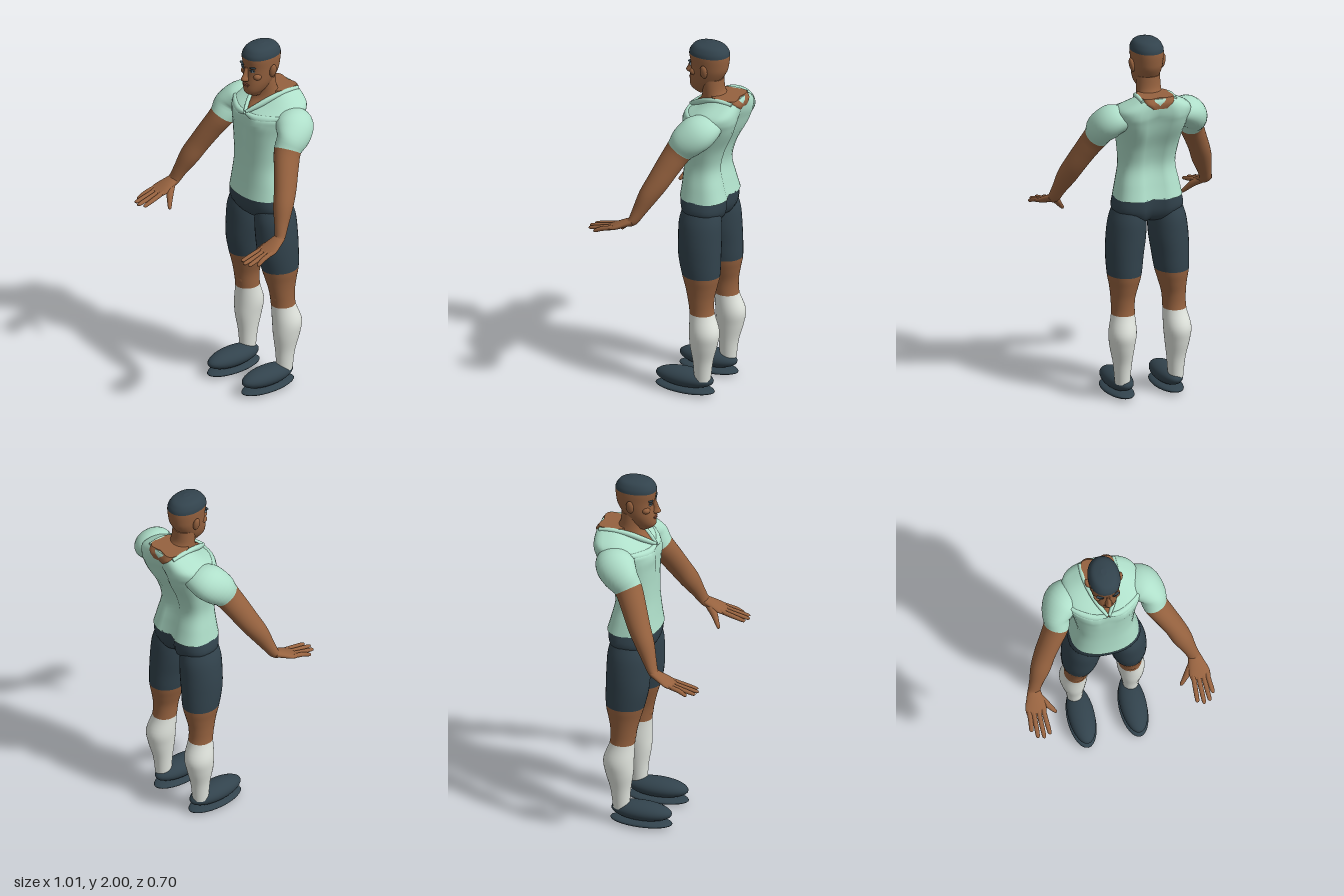
import * as THREE from 'three';

const mat = (name, color) => Object.assign(new THREE.MeshStandardMaterial({ color }), { name });
const SKIN = mat('skin', 0x96623f), SHIRT = mat('mint shirt', 0xafdfca), DARK = mat('dark slate', 0x32434d),
  SOCK = mat('sock white', 0xe2e6df), LIP = mat('lip brown', 0x7c4936), EYE = mat('eye grey', 0xaab4b8);
const SIDES = 32, STEPS = 5;

// Smooth in-between rings; a ring is [x, y, z, halfWidth, halfDepth]
function sampleRings(rings) {
  const out = [], n = rings.length;
  for (let i = 0; i < n - 1; i++) {
    const [a, b, c, d] = [rings[Math.max(i - 1, 0)], rings[i], rings[i + 1], rings[Math.min(i + 2, n - 1)]];
    for (let k = 0; k < STEPS; k++) {
      const t = k / STEPS;
      out.push(b.map((v, m) => v + 0.5 * t * (c[m] - a[m] + t * (2 * a[m] - 5 * v + 4 * c[m] - d[m]
        + t * (3 * (v - c[m]) + d[m] - a[m])))));
    }
  }
  out.push(rings[n - 1]);
  return out;
}

// Lofts rings into a closed skin, cut into slices: [name, material, firstRing, lastRing].
// axis 'y' keeps rings level, 'z' and 'x' turn them along the path.
function loft(group, rings, slices, { axis = 'y', front = 2, back = 2, deform } = {}) {
  const R = sampleRings(rings);
  const V = (r) => new THREE.Vector3(r[0], r[1], r[2]);
  const loops = R.map((r, i) => {
    const t = V(R[Math.min(i + 1, R.length - 1)]).sub(V(R[Math.max(i - 1, 0)])).normalize();
    const u = new THREE.Vector3(1, 0, 0), v = new THREE.Vector3(0, 0, 1);
    if (axis === 'z') {
      v.addScaledVector(t, -t.z).normalize();
      u.crossVectors(t, v);
    } else if (axis === 'x') {
      u.addScaledVector(t, -t.x).normalize();
      v.crossVectors(u, t);
    }
    const loop = [];
    for (let j = 0; j < SIDES; j++) {
      const a = (j / SIDES) * Math.PI * 2, c = Math.cos(a), s = Math.sin(a), e = 2 / (s > 0 ? front : back);
      const p = V(r).addScaledVector(u, r[3] * Math.sign(c) * Math.abs(c) ** e)
        .addScaledVector(v, r[4] * Math.sign(s) * Math.abs(s) ** e);
      if (deform) deform(p, r);
      loop.push(p);
    }
    return loop;
  });
  for (const [name, material, first, last] of slices) {
    const i0 = first * STEPS, i1 = last * STEPS, pos = [], idx = [];
    for (let i = i0; i <= i1; i++) loops[i].forEach((p) => pos.push(p.x, p.y, p.z));
    for (let i = 0; i < i1 - i0; i++) {
      for (let j = 0; j < SIDES; j++) {
        const a = i * SIDES + j, b = i * SIDES + (j + 1) % SIDES;
        idx.push(a, a + SIDES, b, b, a + SIDES, b + SIDES);
      }
    }
    for (const [i, top] of [[i0, false], [i1, true]]) {
      if (i !== 0 && i !== R.length - 1) continue;
      const base = pos.length / 3;
      const mid = loops[i].reduce((m, p) => m.add(p), new THREE.Vector3()).divideScalar(SIDES);
      loops[i].forEach((p) => pos.push(p.x, p.y, p.z));
      pos.push(mid.x, mid.y, mid.z);
      for (let j = 0; j < SIDES; j++) {
        const a = base + j, b = base + (j + 1) % SIDES;
        idx.push(...(top ? [b, a, base + SIDES] : [a, b, base + SIDES]));
      }
    }
    const g = new THREE.BufferGeometry();
    g.setAttribute('position', new THREE.Float32BufferAttribute(pos, 3));
    g.setIndex(idx);
    g.computeVertexNormals();
    const mesh = new THREE.Mesh(g, material);
    mesh.name = name;
    group.add(mesh);
  }
}

function ball(group, name, material, [x, y, z], [rx, ry, rz], tilt = 0) {
  const mesh = new THREE.Mesh(new THREE.SphereGeometry(1, 28, 18).scale(rx, ry, rz), material);
  mesh.position.set(x, y, z);
  mesh.rotation.z = tilt;
  mesh.name = name;
  group.add(mesh);
}

const bell = (d, w) => Math.exp(-((d / w) ** 2));

// Spine groove, shoulder blades and chest
function shapeTorso(p, r) {
  const ax = Math.abs(p.x);
  if (p.z < r[2]) {
    p.z += 0.025 * bell(p.x, 0.03) * Math.min(1, Math.max(0, (1.7 - p.y) / 0.1));
    p.z -= 0.015 * bell(ax - 0.12, 0.05) * bell(p.y - 1.56, 0.08);
  } else {
    p.z += 0.012 * bell(ax - 0.08, 0.05) * bell(p.y - 1.57, 0.045);
    p.z -= 0.008 * bell(p.x, 0.02) * bell(p.y - 1.52, 0.08);
  }
}

function createHead(head) {
  loft(head, [
    [0, 1.705, -0.1, 0.025, 0.03], [0, 1.725, -0.09, 0.038, 0.052], [0, 1.75, -0.102, 0.055, 0.074],
    [0, 1.79, -0.118, 0.07, 0.088], [0, 1.84, -0.136, 0.079, 0.1], [0, 1.88, -0.141, 0.083, 0.105],
    [0, 1.935, -0.139, 0.086, 0.112], [0, 1.965, -0.139, 0.078, 0.102], [0, 1.988, -0.139, 0.058, 0.077],
    [0, 2, -0.139, 0.015, 0.02],
  ], [['face', SKIN, 0, 6], ['hair', DARK, 6, 9]], { front: 2.2, back: 2.1 });
  loft(head, [[0, 1.803, -0.036, 0.013, 0.012], [0, 1.815, -0.027, 0.019, 0.026], [0, 1.84, -0.034, 0.011, 0.023],
    [0, 1.882, -0.044, 0.01, 0.016]], [['nose', SKIN, 0, 3]]);
  ball(head, 'upperLip', LIP, [0, 1.785, -0.034], [0.026, 0.005, 0.011]);
  ball(head, 'lowerLip', LIP, [0, 1.776, -0.034], [0.021, 0.005, 0.011]);
  ball(head, 'chin', SKIN, [0, 1.742, -0.045], [0.026, 0.017, 0.017]);
  for (const s of [1, -1]) {
    ball(head, 'eye', EYE, [s * 0.035, 1.866, -0.047], [0.016, 0.007, 0.008], s * 0.1);
    ball(head, 'iris', DARK, [s * 0.034, 1.867, -0.041], [0.006, 0.006, 0.004]);
    ball(head, 'eyelid', DARK, [s * 0.036, 1.874, -0.045], [0.019, 0.003, 0.009], s * 0.1);
    ball(head, 'eyebrow', DARK, [s * 0.039, 1.889, -0.045], [0.025, 0.005, 0.011], s * 0.2);
    ball(head, 'cheekbone', SKIN, [s * 0.05, 1.835, -0.07], [0.022, 0.02, 0.024]);
    ball(head, 'ear', SKIN, [s * 0.088, 1.86, -0.146], [0.014, 0.04, 0.021], -s * 0.2);
  }
}

function createTorso(body) {
  loft(body, [
    [0, 1.125, -0.136, 0.185, 0.139], [0, 1.2, -0.131, 0.171, 0.123], [0, 1.3, -0.125, 0.154, 0.108],
    [0, 1.4, -0.137, 0.164, 0.118], [0, 1.5, -0.157, 0.181, 0.141], [0, 1.57, -0.172, 0.202, 0.15],
    [0, 1.61, -0.186, 0.212, 0.151], [0, 1.65, -0.222, 0.195, 0.12], [0, 1.69, -0.25, 0.13, 0.09],
    [0, 1.714, -0.258, 0.085, 0.072],
  ], [['shirt', SHIRT, 0, 9]], { front: 2.3, back: 3, deform: shapeTorso });
  loft(body, [[0, 1.6, -0.12, 0.02, 0.093], [0, 1.64, -0.16, 0.055, 0.102], [0, 1.68, -0.178, 0.07, 0.084],
    [0, 1.73, -0.165, 0.067, 0.06], [0, 1.8, -0.155, 0.065, 0.062]], [['neck', SKIN, 0, 4]]);
  loft(body, [[0, 1.66, -0.26, 0.05, 0.086], [0, 1.69, -0.255, 0.085, 0.092], [0, 1.718, -0.25, 0.09, 0.08]],
    [['nape', SKIN, 0, 2]], { front: 3, back: 5, deform: (p, r) => { if (p.z < r[2]) p.z += 0.012 * bell(p.x, 0.03); } });
  // Hips with a groove at the back
  loft(body, [[0, 0.985, -0.14, 0.05, 0.06], [0, 1.01, -0.14, 0.14, 0.1], [0, 1.06, -0.138, 0.194, 0.128],
    [0, 1.13, -0.136, 0.184, 0.136]], [['shortsHips', DARK, 0, 3]], {
    front: 2.3, back: 2.6, deform: (p, r) => { if (p.z < r[2]) p.z += 0.03 * bell(p.x, 0.025); } });
}

function createSide(body, s) {
  const m = (rings) => rings.map(([x, ...rest]) => [s * x, ...rest]);
  // Collar flap and neckline
  loft(body, m([[0.004, 1.612, -0.03, 0.008, 0.01], [0.07, 1.598, -0.045, 0.022, 0.02], [0.13, 1.603, -0.075, 0.022, 0.02],
    [0.19, 1.618, -0.12, 0.01, 0.012]]), [['collarFlap', SHIRT, 0, 3]], { axis: 'z' });
  loft(body, m([[0.004, 1.618, -0.028, 0.008, 0.01], [0.042, 1.655, -0.09, 0.013, 0.016], [0.072, 1.69, -0.16, 0.013, 0.015],
    [0.09, 1.708, -0.24, 0.012, 0.012], [0.092, 1.702, -0.315, 0.01, 0.012]]), [['neckline', SHIRT, 0, 4]], { axis: 'x' });
  // Arm with sleeve
  loft(body, m([
    [0.15, 1.59, -0.205, 0.06, 0.09], [0.215, 1.575, -0.186, 0.083, 0.105], [0.258, 1.53, -0.14, 0.076, 0.095],
    [0.268, 1.47, -0.095, 0.067, 0.076], [0.308, 1.39, -0.052, 0.06, 0.068], [0.352, 1.3, -0.008, 0.056, 0.061],
    [0.385, 1.22, 0.035, 0.054, 0.052], [0.415, 1.14, 0.072, 0.039, 0.037], [0.434, 1.083, 0.1, 0.034, 0.026],
    [0.439, 1.066, 0.13, 0.036, 0.019],
  ]), [['sleeve', SHIRT, 0, 3], ['arm', SKIN, 3, 9]], { axis: 'z' });
  // Hand
  loft(body, m([[0.436, 1.085, 0.095, 0.032, 0.02], [0.44, 1.065, 0.14, 0.045, 0.02], [0.445, 1.045, 0.185, 0.056, 0.017],
    [0.447, 1.033, 0.22, 0.052, 0.012]]), [['palm', SKIN, 0, 3]], { axis: 'x' });
  const fingers = [[0.41, 0.402, 0.325], [0.435, 0.435, 0.338], [0.46, 0.467, 0.33], [0.483, 0.493, 0.293]];
  for (const [x0, x1, z] of fingers) {
    loft(body, m([[x0, 1.042, 0.195, 0.013, 0.012], [(x0 + x1) / 2, 1.027, 0.255, 0.013, 0.012],
      [x1, 1.01, z, 0.011, 0.009], [x1, 1.006, z + 0.01, 0.004, 0.004]]), [['finger', SKIN, 0, 3]], { axis: 'x' });
  }
  loft(body, m([[0.425, 1.065, 0.12, 0.018, 0.018], [0.39, 1.035, 0.165, 0.018, 0.019], [0.36, 1, 0.193, 0.013, 0.013],
    [0.342, 0.98, 0.208, 0.009, 0.009], [0.337, 0.975, 0.212, 0.003, 0.003]]), [['thumb', SKIN, 0, 4]], { axis: 'z' });
  // Leg: sock, bare knee, shorts
  loft(body, m([
    [0.152, 0.09, -0.172, 0.04, 0.045], [0.153, 0.2, -0.175, 0.05, 0.055], [0.157, 0.3, -0.181, 0.066, 0.076],
    [0.156, 0.38, -0.185, 0.074, 0.083], [0.147, 0.48, -0.167, 0.063, 0.068], [0.145, 0.56, -0.16, 0.064, 0.073],
    [0.139, 0.63, -0.158, 0.076, 0.088], [0.135, 0.7, -0.155, 0.091, 0.105], [0.13, 0.8, -0.145, 0.1, 0.117],
    [0.121, 0.9, -0.142, 0.106, 0.119], [0.112, 1, -0.14, 0.101, 0.117], [0.1, 1.08, -0.14, 0.085, 0.1],
  ]), [['sock', SOCK, 0, 4], ['knee', SKIN, 4, 7], ['shortsLeg', DARK, 7, 11]]);
  ball(body, 'kneecap', SKIN, [s * 0.145, 0.535, -0.115], [0.036, 0.045, 0.024]);
  // Shoe
  ball(body, 'shoe', DARK, [s * 0.141, 0.082, -0.062], [0.071, 0.052, 0.168]);
  ball(body, 'sole', DARK, [s * 0.141, 0.022, -0.064], [0.075, 0.022, 0.172]);
}

export function createModel() {
  const model = new THREE.Group();
  model.name = 'athlete';
  const head = new THREE.Group(), body = new THREE.Group();
  head.name = 'head';
  body.name = 'body';
  createHead(head);
  createTorso(body);
  for (const s of [1, -1]) createSide(body, s);
  model.add(head, body);
  return model;
}
